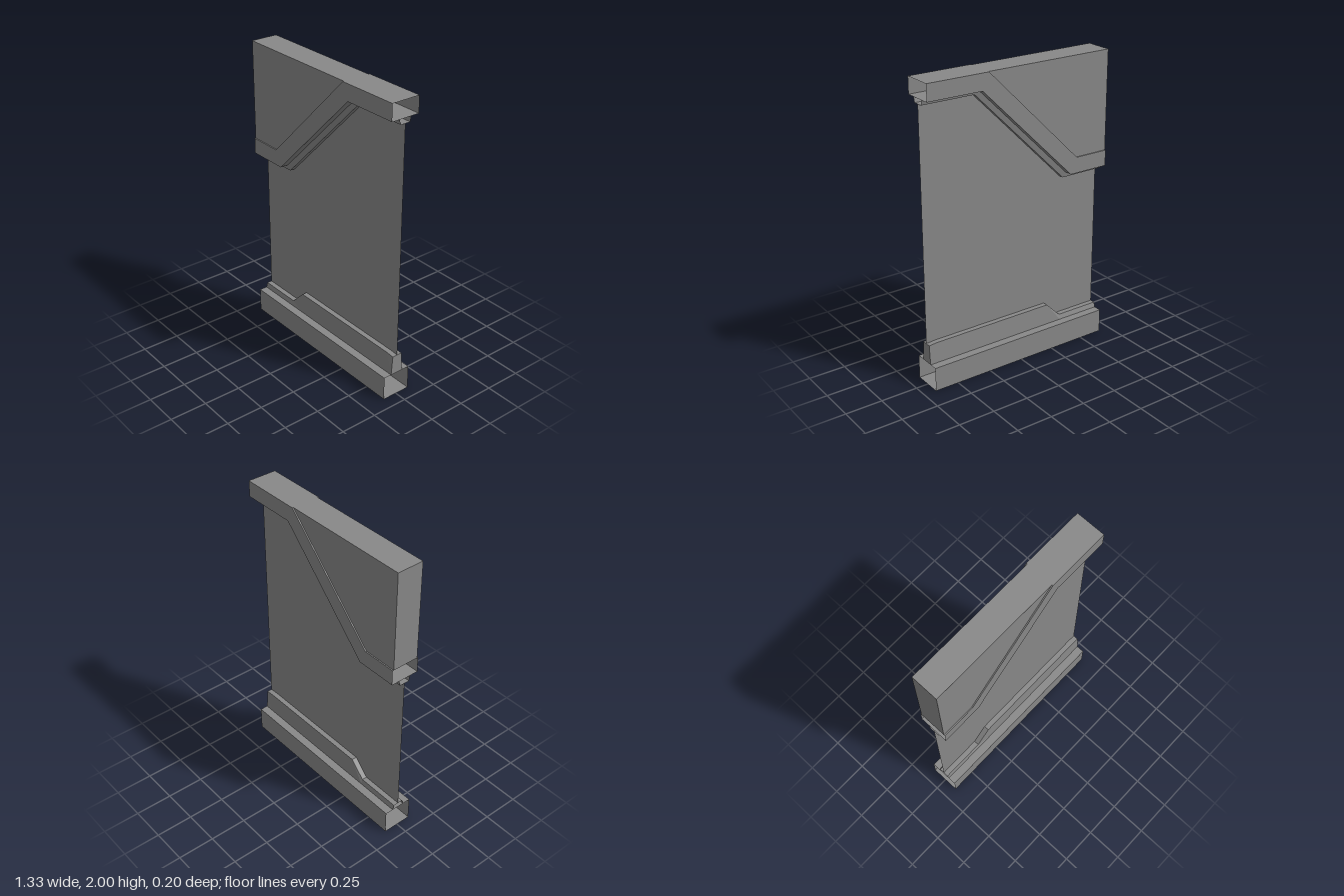
import * as THREE from 'three';

const W = 0.667; // half length of the wall piece
const material = new THREE.MeshStandardMaterial({ color: 0x888888, flatShading: true, side: THREE.DoubleSide });

// Outlines along the wall, as [x, y] from the right end to the left end
const trimTop = [[-W, 1.333], [-0.43, 1.333], [0.24, 2], [W, 2]];
const trimBottom = [[-W, 1.227], [-0.383, 1.227], [0.286, 1.891], [W, 1.891]];
const upperLip = [[-W, 1.19], [-0.368, 1.19], [0.3, 1.857], [W, 1.857]];
const lowerLip = [[-W, 0.196], [-0.36, 0.196], [-0.255, 0.3], [0.605, 0.3], [W, 0.295]];
const level = (y) => lowerLip.map(([x]) => [x, y]);
const railTop = [[-W, 0.163], [W, 0.163]];
const railBottom = [[-W, 0], [W, 0]];

// Joins successive rows, each an outline placed at a depth z
function loft(rows, closed = false) {
  const v = [];
  const n = closed ? rows.length : rows.length - 1;
  for (let r = 0; r < n; r++) {
    const [a, za] = rows[r];
    const [b, zb] = rows[(r + 1) % rows.length];
    for (let i = 0; i < a.length - 1; i++) {
      const p = [...a[i], za], q = [...b[i], zb], s = [...b[i + 1], zb], t = [...a[i + 1], za];
      v.push(...p, ...q, ...s, ...p, ...s, ...t);
    }
  }
  const g = new THREE.BufferGeometry();
  g.setAttribute('position', new THREE.Float32BufferAttribute(v, 3));
  g.computeVertexNormals();
  return g;
}

// Four-sided tube with open ends, running between two outlines
const channel = (top, bottom, z) => loft([[top, z], [bottom, z], [bottom, -z], [top, -z]], true);

const flat = (points) => new THREE.ShapeGeometry(new THREE.Shape(points.map(([x, y]) => new THREE.Vector2(x, y))));

export function createModel() {
  const group = new THREE.Group();
  const add = (name, geometry, parent = group) => {
    const mesh = new THREE.Mesh(geometry, material);
    mesh.name = name;
    parent.add(mesh);
    return mesh;
  };

  // Lower rail, and the stepped, tapering lip standing on it
  add('lowerRail', channel(railTop, railBottom, 0.1));
  add('lowerLip', loft([[level(0.163), -0.045], [lowerLip, -0.035], [lowerLip, 0.035], [level(0.163), 0.045]]));
  const lipEnd = add('lowerLipEnd', flat([[-0.045, 0.163], [0.045, 0.163], [0.035, 0.295], [-0.035, 0.295]]));
  lipEnd.rotation.y = Math.PI / 2;
  lipEnd.position.x = W;

  // Thin pane between the two lips
  add('pane', flat([...upperLip, ...[...lowerLip].reverse()]));

  // Sloping trim, and the narrow lip hanging beneath it
  add('slopingTrim', channel(trimTop, trimBottom, 0.1));
  add('upperLip', loft([[trimBottom, 0.043], [upperLip, 0.035], [upperLip, -0.035], [trimBottom, -0.043]]));

  // Upper panel, set slightly back from the trim
  const upper = new THREE.Group();
  upper.name = 'upperPanel';
  group.add(upper);
  const outline = [...trimTop.slice(0, 3), [-W, 2]];
  add('upperPanelFront', flat(outline), upper).position.z = 0.092;
  const back = add('upperPanelBack', flat(outline.map(([x, y]) => [-x, y])), upper);
  back.rotation.y = Math.PI;
  back.position.z = -0.092;
  const top = add('upperPanelTop', new THREE.PlaneGeometry(W + 0.24, 0.184), upper);
  top.rotation.x = -Math.PI / 2;
  top.position.set((0.24 - W) / 2, 2, 0);
  const end = add('upperPanelEnd', new THREE.PlaneGeometry(0.184, 0.667), upper);
  end.rotation.y = -Math.PI / 2;
  end.position.set(-W, 1.6665, 0);

  return group;
}
